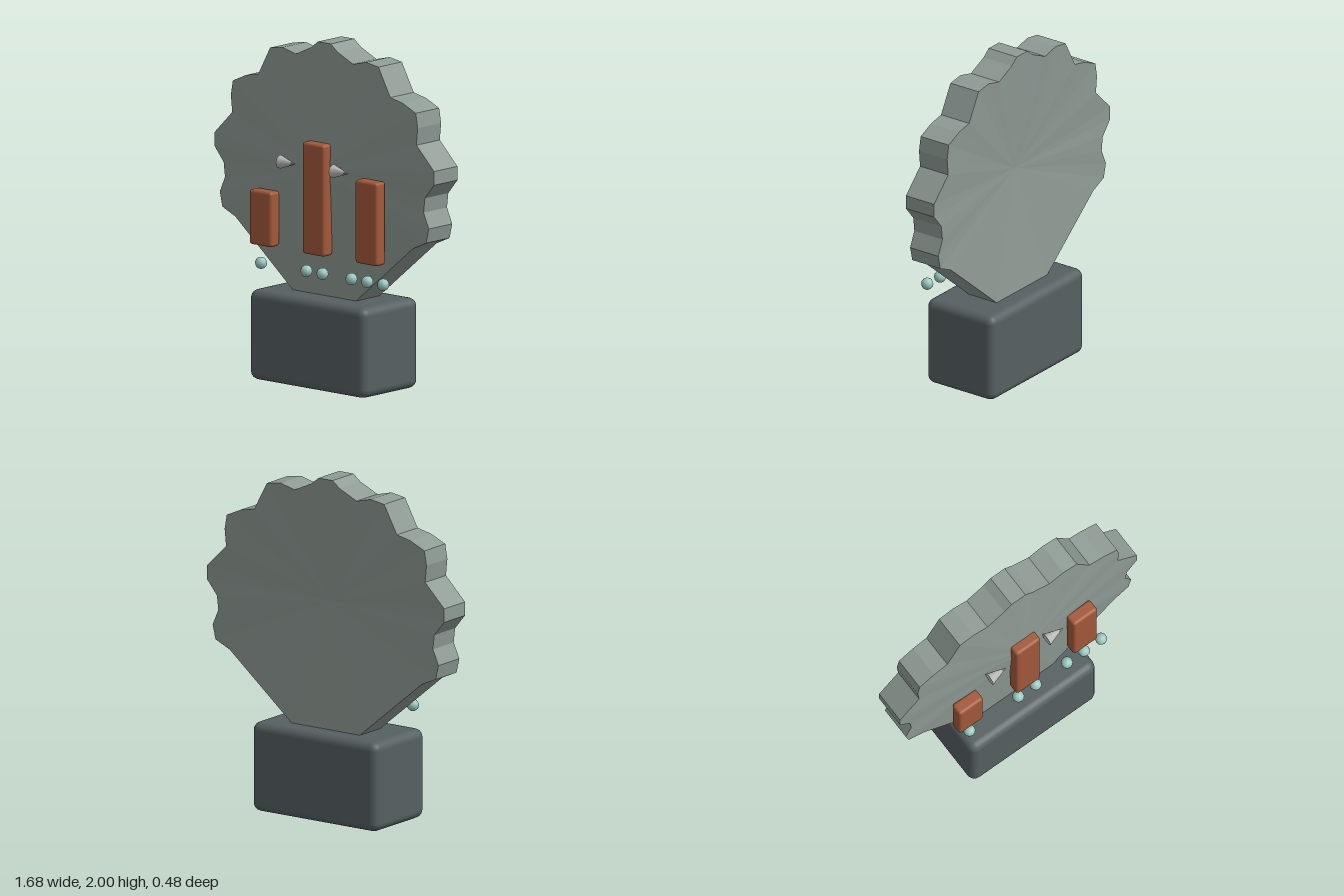
import * as THREE from 'three';
import { RoundedBoxGeometry } from 'three/addons/geometries/RoundedBoxGeometry.js';

const mat = (name, color) => {
  const m = new THREE.MeshStandardMaterial({ color });
  m.name = name;
  return m;
};

// Right half of the scalloped outline, from the top down to the foot
const HALF = [
  [0.05, 2], [0.1, 1.96], [0.22, 1.905], [0.32, 1.93], [0.415, 1.915], [0.505, 1.75],
  [0.6, 1.73], [0.7, 1.685], [0.715, 1.6], [0.705, 1.5], [0.765, 1.44], [0.84, 1.365],
  [0.84, 1.285], [0.77, 1.2], [0.76, 1.115], [0.8, 1.025], [0.78, 0.94], [0.68, 0.895],
  [0.24, 0.528],
];

// Thick shell: a shallow cone in front, a matching hollow behind, and a straight rim
function shellGeometry(front, back, rise, centreY) {
  const mirrored = HALF.map(([x, y]) => [-x, y]);
  const ring = [...mirrored, ...[...HALF].reverse()]; // counter-clockwise from the front
  const p = [];
  ring.forEach(([ax, ay], i) => {
    const [bx, by] = ring[(i + 1) % ring.length];
    p.push(0, centreY, front + rise, ax, ay, front, bx, by, front);
    p.push(0, centreY, back + rise, bx, by, back, ax, ay, back);
    p.push(ax, ay, front, ax, ay, back, bx, by, back);
    p.push(ax, ay, front, bx, by, back, bx, by, front);
  });
  const g = new THREE.BufferGeometry();
  g.setAttribute('position', new THREE.Float32BufferAttribute(p, 3));
  g.computeVertexNormals();
  return g;
}

export function createModel() {
  const model = new THREE.Group();
  const stone = mat('greyGreenStone', 0x8f9b95);
  const slate = mat('darkSlate', 0x566062);
  const copper = mat('copper', 0xa3593a);
  const pearl = mat('paleAqua', 0x9cc9c2);
  const silver = mat('silver', 0xbababa);

  const add = (name, geometry, material, x, y, z) => {
    const mesh = new THREE.Mesh(geometry, material);
    mesh.name = name;
    mesh.position.set(x, y, z);
    model.add(mesh);
    return mesh;
  };

  add('base', new RoundedBoxGeometry(0.89, 0.525, 0.48, 3, 0.05), slate, 0, 0.2675, 0);
  add('shell', shellGeometry(0.08, -0.12, 0.052, 1.27), stone, 0, 0, 0);

  // Three upright bars sharing one bottom line
  [[-0.405, 0.32], [0, 0.65], [0.405, 0.485]].forEach(([x, h], i) => {
    add(`bar${i + 1}`, new RoundedBoxGeometry(0.17, h, 0.08, 3, 0.018), copper, x, 0.777 + h / 2, 0.14);
  });

  // Pointers between the bars, tips toward +x
  const cone = new THREE.ConeGeometry(0.04, 0.12, 8);
  [-0.205, 0.2].forEach((x, i) => {
    add(`pointer${i + 1}`, cone, silver, x, 1.284, 0.16).rotation.z = -Math.PI / 2;
  });

  // Beads in groups of one, two and three beneath the bars
  const bead = new THREE.SphereGeometry(0.035, 12, 8);
  [-0.41, -0.063, 0.06, 0.282, 0.403, 0.525].forEach((x, i) => {
    add(`bead${i + 1}`, bead, pearl, x, 0.676, 0.163);
  });

  return model;
}
